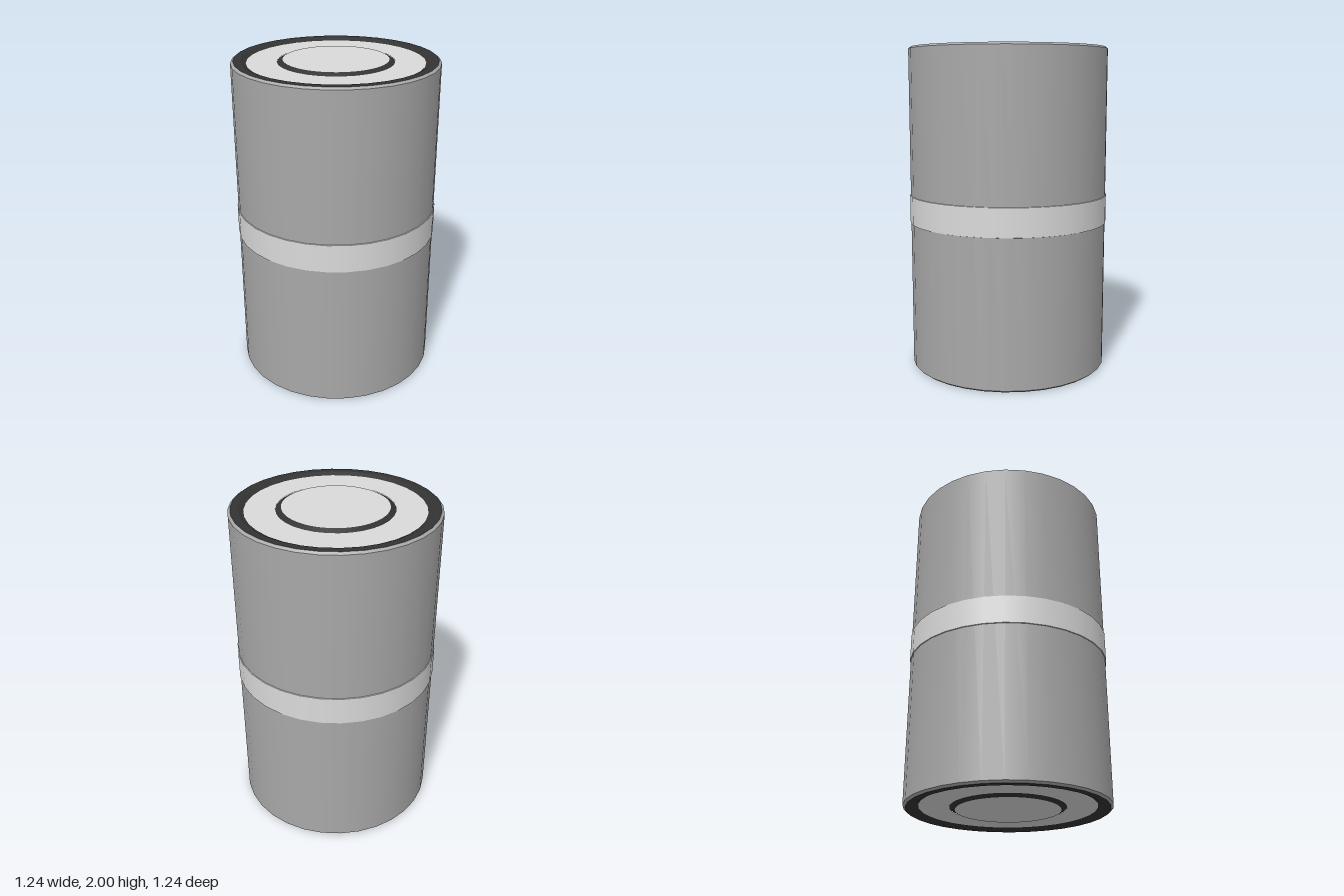
import * as THREE from 'three';
import { mergeGeometries } from 'three/addons/utils/BufferGeometryUtils.js';

const material = (name, color) => {
  const m = new THREE.MeshStandardMaterial({ color });
  m.name = name;
  return m;
};

// Turns a profile of [radius, height] points, smooth around and sharp between points
function turned(name, profile, mat, sides = 32) {
  const strips = [];
  for (let i = 0; i < profile.length - 1; i++) {
    const pair = [profile[i], profile[i + 1]].map(([r, y]) => new THREE.Vector2(r, y));
    strips.push(new THREE.LatheGeometry(pair, sides));
  }
  const mesh = new THREE.Mesh(mergeGeometries(strips), mat);
  mesh.name = name;
  return mesh;
}

export function createModel() {
  const grey = material('casing grey', 0xa8a8a8);
  const light = material('light grey', 0xdadada);
  const dark = material('dark rubber', 0x333333);

  const model = new THREE.Group();
  model.name = 'canister';

  // Casing with small bevels at both ends
  model.add(turned('casing', [[0.6, 0], [0.615, 0.012], [0.615, 1.988], [0.6, 2]], grey));

  // Slightly raised band around the middle
  model.add(turned('middleBand', [[0.61, 0.915], [0.62, 0.918], [0.62, 1.09], [0.61, 1.093]], light));

  // End caps, heights measured from the middle of the canister
  for (const end of ['top', 'bottom']) {
    const cap = new THREE.Group();
    cap.name = `${end}Cap`;
    cap.add(
      turned('rimRing', [[0.6, 1], [0.555, 1], [0.525, 0.985]], dark),
      turned('endPlate', [[0.525, 0.985], [0.345, 0.985]], light),
      turned('buttonEdge', [[0.345, 0.982], [0.312, 1]], dark, 64),
      turned('button', [[0.312, 1], [0, 1]], light, 64)
    );
    cap.position.y = 1;
    if (end === 'bottom') cap.rotation.x = Math.PI;
    model.add(cap);
  }
  return model;
}
